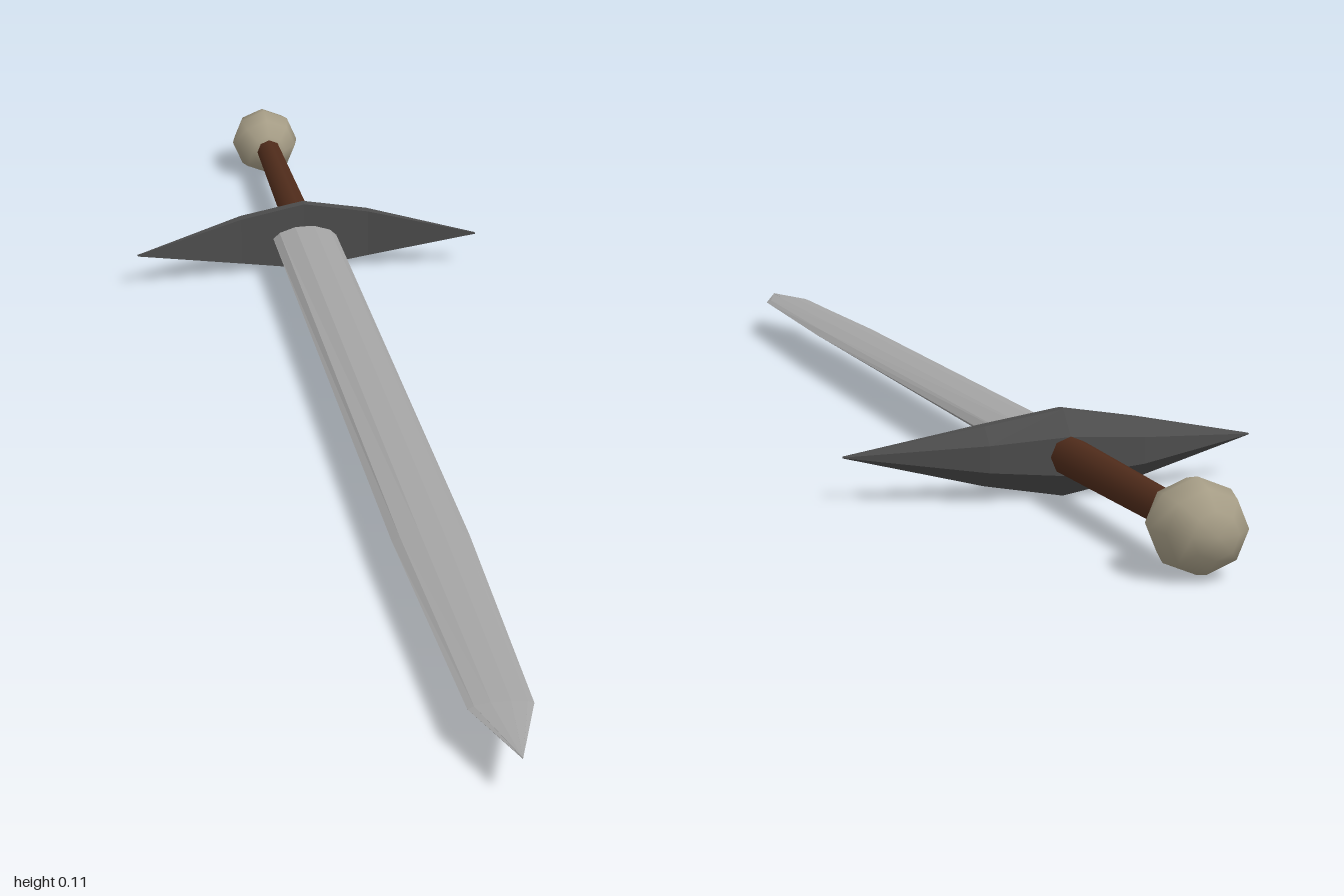
import * as THREE from 'three';

const material = (name, color) =>
  Object.assign(new THREE.MeshStandardMaterial({ color }), { name });

// Joins equal-length rings of points into a closed, flat-faced skin.
function loft(rings) {
  const n = rings[0].length, index = [];
  for (let r = 0; r < rings.length - 1; r++) {
    for (let i = 0; i < n; i++) {
      const a = r * n + i, b = r * n + (i + 1) % n;
      index.push(a, b, a + n, b, b + n, a + n);
    }
  }
  const last = (rings.length - 1) * n;
  for (let i = 1; i < n - 1; i++) {
    index.push(0, i + 1, i, last, last + i, last + i + 1);
  }
  const geometry = new THREE.BufferGeometry();
  geometry.setAttribute('position', new THREE.Float32BufferAttribute(rings.flat(2), 3));
  geometry.setIndex(index);
  const flat = geometry.toNonIndexed();
  flat.computeVertexNormals();
  return flat;
}

export function createModel() {
  const steel = material('blade steel', 0xa4a4a4);
  const iron = material('dark iron', 0x4c4c4c);
  const leather = material('brown grip', 0x502c1b);
  const bone = material('pale pommel', 0xa69d86);

  const sword = new THREE.Group();
  sword.name = 'sword';
  const add = (name, geometry, mat) => {
    const mesh = new THREE.Mesh(geometry, mat);
    mesh.name = name;
    mesh.position.y = 0.055;
    sword.add(mesh);
  };

  // Blade: lens section, counter-clockwise seen from the tip, narrowing to a point
  const lens = [[1, 0], [0.8, 0.55], [0.3, 1], [-0.3, 1], [-0.8, 0.55],
    [-1, 0], [-0.8, -0.55], [-0.3, -1], [0.3, -1], [0.8, -0.55]];
  const bladeStations = [[-0.51, 0.05, 0.017], [0.5, 0.049, 0.011],
    [0.89, 0.038, 0.006], [0.995, 0.0005, 0.001]];
  add('blade', loft(bladeStations.map(([z, w, t]) =>
    lens.map(([x, y]) => [x * w, y * t, z]))), steel);

  // Crossguard: diamond plate swept forward, flat in front and ridged behind
  // Stations: x, half height, front z, rim z, back z
  const half = [[0.266, 0.001, -0.463, -0.465, -0.467],
    [0.1, 0.037, -0.492, -0.508, -0.53]];
  const guardStations = [
    ...half.map(([x, ...rest]) => [-x, ...rest]),
    [0, 0.054, -0.497, -0.512, -0.54],
    ...half.slice().reverse()
  ];
  add('crossguard', loft(guardStations.map(([x, h, front, rim, back]) => [
    [x, h, front], [x, -h, front], [x, -h, rim],
    [x, -h * 0.45, back], [x, h * 0.45, back], [x, h, rim]
  ])), iron);

  // Grip: tapers slightly towards the pommel
  const grip = new THREE.CylinderGeometry(0.025, 0.02, 0.38, 8);
  grip.rotateX(Math.PI / 2);
  grip.translate(0, 0, -0.715);
  add('grip', grip, leather);

  // Pommel: coarse, slightly stretched ball
  const pommel = new THREE.SphereGeometry(1, 8, 6);
  pommel.rotateX(Math.PI / 2);
  pommel.scale(0.055, 0.054, 0.061);
  pommel.translate(0, 0, -0.937);
  add('pommel', pommel, bone);

  return sword;
}
